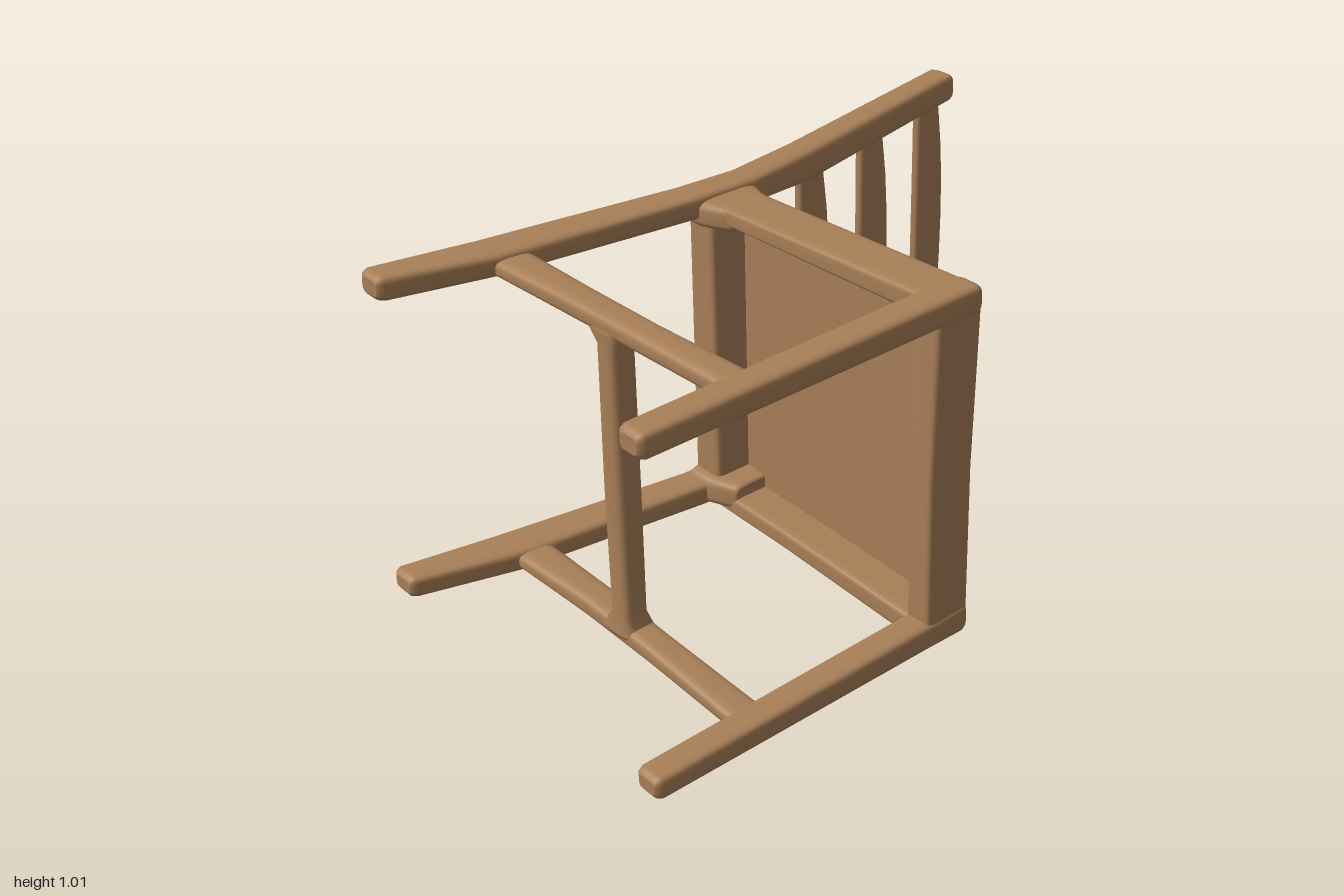
import * as THREE from 'three';

const wood = new THREE.MeshStandardMaterial({ color: 0xa98058 });
wood.name = 'wood';

const SIDES = 24;

// Rounded bar along an axis. Each section: [t, uMin, uMax, vMin, vMax],
// where (axis, u, v) is (x, y, z), (y, z, x) or (z, x, y). t increases.
function bar(name, axis, sections, round = 0.02, power = 0.45) {
  const inset = (s, t, d) => [t, s[1] + d, s[2] - d, s[3] + d, s[4] - d];
  const first = sections[0], last = sections[sections.length - 1];
  const rows = [
    inset(first, first[0], round * 0.7),
    inset(first, first[0] + round * 0.3, round * 0.25),
    inset(first, first[0] + round, 0),
    ...sections.slice(1, -1),
    inset(last, last[0] - round, 0),
    inset(last, last[0] - round * 0.3, round * 0.25),
    inset(last, last[0], round * 0.7),
  ];
  const pos = [], idx = [];
  const put = (t, u, v) => {
    const p = [0, 0, 0];
    p[axis] = t; p[(axis + 1) % 3] = u; p[(axis + 2) % 3] = v;
    pos.push(...p);
  };
  const soft = (c) => Math.sign(c) * Math.pow(Math.abs(c), power);
  const ring = ([t, u0, u1, v0, v1]) => {
    for (let j = 0; j < SIDES; j++) {
      const a = ((j + 0.5) / SIDES) * Math.PI * 2;
      put(t, (u0 + u1) / 2 + soft(Math.cos(a)) * (u1 - u0) / 2,
        (v0 + v1) / 2 + soft(Math.sin(a)) * (v1 - v0) / 2);
    }
  };
  rows.forEach(ring);
  for (let i = 0; i < rows.length - 1; i++) {
    for (let j = 0; j < SIDES; j++) {
      const k = (j + 1) % SIDES;
      const a = i * SIDES + j, b = i * SIDES + k;
      idx.push(a, b, a + SIDES, b, b + SIDES, a + SIDES);
    }
  }
  // flat end caps with their own vertices
  for (const [row, end] of [[rows[0], false], [rows[rows.length - 1], true]]) {
    const base = pos.length / 3;
    ring(row);
    put(row[0], (row[1] + row[2]) / 2, (row[3] + row[4]) / 2);
    for (let j = 0; j < SIDES; j++) {
      const a = base + j, b = base + (j + 1) % SIDES, c = base + SIDES;
      if (end) idx.push(a, b, c); else idx.push(b, a, c);
    }
  }
  const geo = new THREE.BufferGeometry();
  geo.setAttribute('position', new THREE.Float32BufferAttribute(pos, 3));
  geo.setIndex(idx);
  geo.computeVertexNormals();
  const mesh = new THREE.Mesh(geo, wood);
  mesh.name = name;
  return mesh;
}

// Seat board, narrower in y toward the back
function seatBoard() {
  const geo = new THREE.BoxGeometry(0.035, 1, 0.87);
  const p = geo.attributes.position;
  for (let i = 0; i < p.count; i++) {
    const z = p.getZ(i) + 0.095;
    const k = (0.53 - z) / 0.87;
    p.setXYZ(i, p.getX(i) + 0.026,
      p.getY(i) > 0 ? 0.99 - 0.02 * k : 0.025 + 0.04 * k, z);
  }
  geo.computeVertexNormals();
  const mesh = new THREE.Mesh(geo, wood);
  mesh.name = 'seatBoard';
  return mesh;
}

export function createModel() {
  const chair = new THREE.Group();
  chair.name = 'chairOnItsSide';
  chair.add(seatBoard());

  // Front legs
  chair.add(bar('leftFrontLeg', 0, [
    [-0.99, 0.93, 1.0, 0.475, 0.56], [-0.1, 0.935, 1.01, 0.465, 0.56], [0.045, 0.935, 1.012, 0.465, 0.562]]));
  chair.add(bar('rightFrontLeg', 0, [
    [-0.985, 0.01, 0.075, 0.475, 0.56], [-0.1, 0.008, 0.085, 0.465, 0.555], [0.045, 0.006, 0.09, 0.465, 0.555]]));

  // Rear legs running on into the back posts: [x, zMin, zMax, left y range, right y range]
  const posts = [
    [-1.0, -0.535, -0.445, 0.93, 1.0, 0.065, 0.13],
    [-0.7, -0.487, -0.362, 0.935, 1.0, 0.065, 0.13],
    [-0.13, -0.402, -0.298, 0.935, 1.003, 0.06, 0.13],
    [0.06, -0.398, -0.297, 0.925, 1.0, 0.06, 0.133],
    [0.3, -0.442, -0.343, 0.903, 0.996, 0.06, 0.145],
    [1.0, -0.572, -0.478, 0.92, 1.003, 0.066, 0.157],
  ];
  chair.add(bar('leftRearPost', 0, posts.map((p) => [p[0], p[3], p[4], p[1], p[2]])));
  chair.add(bar('rightRearPost', 0, posts.map((p) => [p[0], p[5], p[6], p[1], p[2]])));

  // Seat rails
  chair.add(bar('frontRail', 1, [
    [0.02, 0.465, 0.55, -0.1, 0.047], [0.5, 0.465, 0.545, -0.1, 0.047], [1.0, 0.465, 0.558, -0.1, 0.047]], 0.02, 0.3));
  chair.add(bar('rearRail', 1, [
    [0.07, -0.385, -0.28, -0.1, 0.047], [0.98, -0.385, -0.28, -0.1, 0.047]], 0.02, 0.3));
  chair.add(bar('leftSeatRail', 2, [
    [-0.34, -0.1, 0.045, 0.935, 0.985], [-0.2, -0.1, 0.045, 0.935, 0.985], [0.54, -0.1, 0.045, 0.945, 1.008]], 0.02, 0.3));
  chair.add(bar('rightSeatRail', 2, [
    [-0.34, -0.1, 0.045, 0.055, 0.11], [0, -0.1, 0.045, 0.043, 0.1], [0.54, -0.1, 0.045, 0.008, 0.075]], 0.02, 0.3));

  // Flared joints between seat rails and rear posts
  for (const [name, y0, y1] of [['leftRearJoint', 0.91, 0.988], ['rightRearJoint', 0.06, 0.15]]) {
    chair.add(bar(name, 2, [
      [-0.38, -0.13, 0.07, y0, y1], [-0.3, -0.13, 0.07, y0, y1], [-0.21, -0.1, 0.045, y0 + 0.005, y1 - 0.004]], 0.01));
  }

  // Side stretchers
  chair.add(bar('leftStretcher', 2, [
    [-0.43, -0.72, -0.61, 0.935, 0.985], [-0.1, -0.705, -0.615, 0.93, 0.985],
    [0.15, -0.7, -0.615, 0.93, 0.985], [0.51, -0.7, -0.603, 0.935, 0.985]], 0.02, 0.6));
  chair.add(bar('rightStretcher', 2, [
    [-0.43, -0.72, -0.61, 0.075, 0.122], [-0.1, -0.705, -0.615, 0.06, 0.12],
    [0.15, -0.7, -0.615, 0.045, 0.1], [0.51, -0.7, -0.603, 0.022, 0.065]], 0.02, 0.6));

  // Cross stretcher with wider ends
  chair.add(bar('crossStretcher', 1, [
    [0.07, -0.03, 0.1, -0.71, -0.61], [0.13, 0, 0.075, -0.698, -0.622], [0.5, -0.002, 0.077, -0.7, -0.622],
    [0.9, 0, 0.075, -0.698, -0.622], [0.96, -0.03, 0.1, -0.705, -0.612]], 0.02, 0.6));

  // Back slats, straight on the inner edge and bowed on the outer one
  for (const x of [0.29, 0.57, 0.85]) {
    const slat = bar('backSlat', 1, [0.11, 0.17, 0.28, 0.4, 0.53, 0.66, 0.78, 0.89, 0.94].map((y) => {
      const bow = 1 - Math.pow(Math.abs(y - 0.525) / 0.4, 2.4);
      return [y, -0.018, 0.018, 0, 0.1 + 0.036 * Math.max(bow, 0)];
    }), 0.01, 0.55);
    // lean each slat along the posts
    slat.position.set(x, 0, -0.345 - (x - 0.01) * 0.19 + 0.012);
    slat.rotation.y = 0.19;
    chair.add(slat);
  }
  return chair;
}
